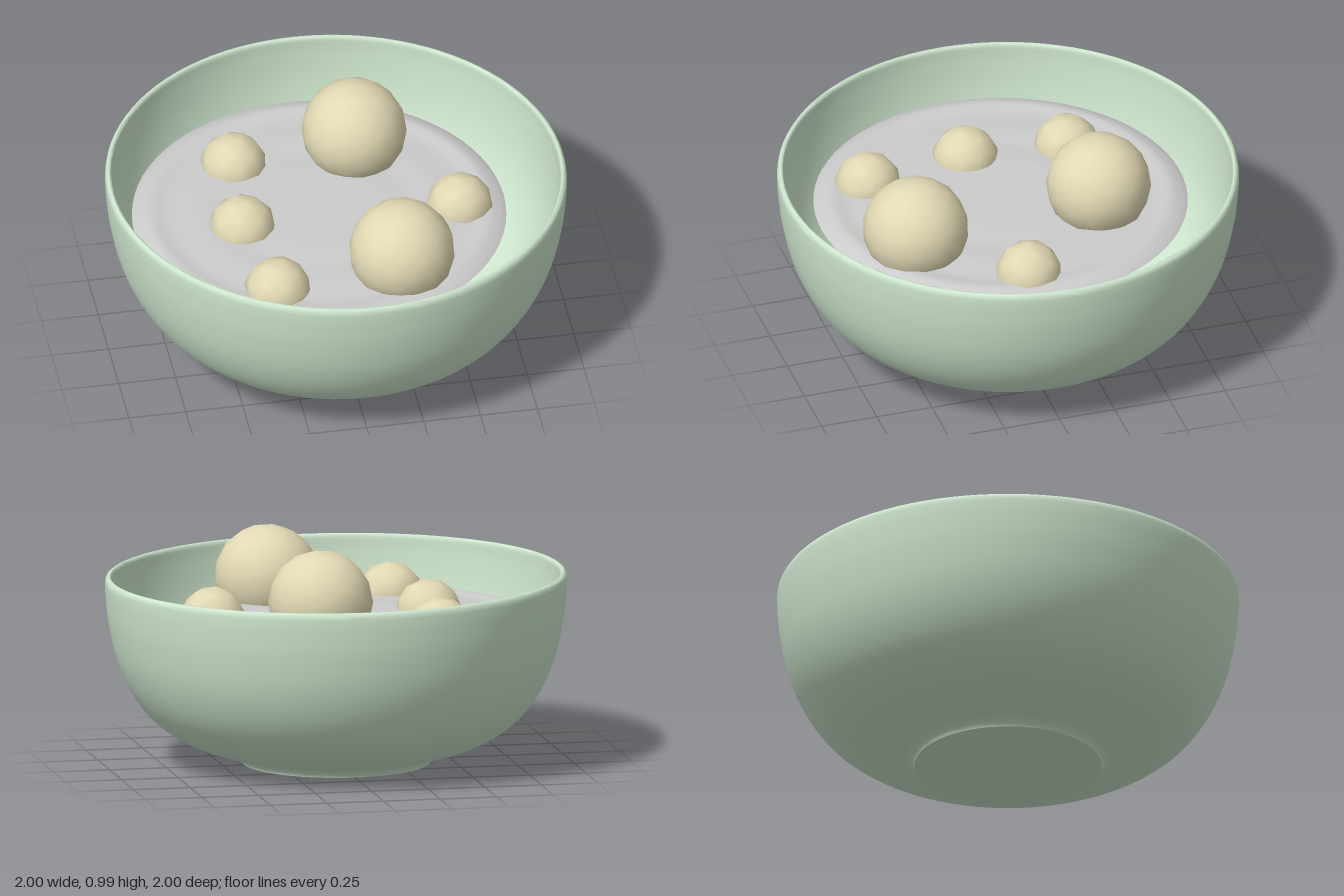
import * as THREE from 'three';
import { toCreasedNormals } from 'three/addons/utils/BufferGeometryUtils.js';

const vecs = (pts) => pts.map(([x, y]) => new THREE.Vector2(x, y));
const smooth = (pts, n) => new THREE.SplineCurve(vecs(pts)).getPoints(n);

function addMesh(group, name, geometry, color, side = THREE.FrontSide) {
  const mesh = new THREE.Mesh(geometry, new THREE.MeshStandardMaterial({ color, side }));
  mesh.name = name;
  group.add(mesh);
  return mesh;
}

export function createModel() {
  const group = new THREE.Group();
  group.name = 'bowlOfBalls';

  // Bowl: underside, foot, outer wall, rim, inner wall and floor in one profile
  const foot = vecs([[0, 0.006], [0.36, 0.006], [0.375, 0.005], [0.39, 0], [0.405, 0]]);
  const outer = smooth([[0.41, 0.012], [0.45, 0.04], [0.59, 0.078], [0.71, 0.135], [0.815, 0.22], [0.895, 0.335],
    [0.951, 0.47], [0.984, 0.62], [0.997, 0.74], [0.999, 0.8]], 40);
  const rim = vecs([[0.997, 0.813], [0.992, 0.822], [0.985, 0.827], [0.978, 0.827], [0.973, 0.821]]);
  const inner = smooth([[0.971, 0.81], [0.968, 0.74], [0.952, 0.61], [0.918, 0.47], [0.862, 0.345],
    [0.785, 0.24], [0.685, 0.165], [0.5, 0.105], [0.3, 0.08], [0, 0.07]], 40);
  const bowl = new THREE.LatheGeometry([...foot, ...outer, ...rim, ...inner], 96);

  // The rim leans slightly down towards +x
  const pos = bowl.attributes.position;
  for (let i = 0; i < pos.count; i++) {
    const y = pos.getY(i);
    pos.setY(i, y * (1 - 0.015 * pos.getX(i)));
  }
  addMesh(group, 'bowl', toCreasedNormals(bowl, 0.95), 0xcde5cd);

  // Liquid: off-centre disc with gentle ripples and a sloping edge
  const ripple = smooth([[0.81, 0.618], [0.78, 0.634], [0.73, 0.648], [0.65, 0.64], [0.52, 0.647],
    [0.4, 0.643], [0.28, 0.65], [0.15, 0.648], [0, 0.648]], 40);
  const liquid = addMesh(group, 'liquid', new THREE.LatheGeometry(ripple, 72), 0xcccccc, THREE.DoubleSide);
  liquid.position.set(-0.076, 0, 0.01);

  // Balls: x, y, z, radius, subdivision
  const balls = [
    ['largeBall', 0.145, 0.768, -0.365, 0.228, 2],
    ['largeBall', 0.203, 0.737, 0.482, 0.23, 2],
    ['smallBall', -0.382, 0.63, -0.385, 0.147, 1],
    ['smallBall', -0.422, 0.63, 0.062, 0.147, 1],
    ['smallBall', -0.351, 0.63, 0.527, 0.147, 1],
    ['smallBall', 0.53, 0.63, 0.072, 0.147, 1],
  ];
  balls.forEach(([name, x, y, z, r, detail], i) => {
    const ball = addMesh(group, name + (i + 1), new THREE.IcosahedronGeometry(r, detail), 0xe2d9b4);
    ball.position.set(x, y, z);
    ball.rotation.set(0.4 * i, 0.9 * i, 0.2 * i);
  });

  return group;
}
